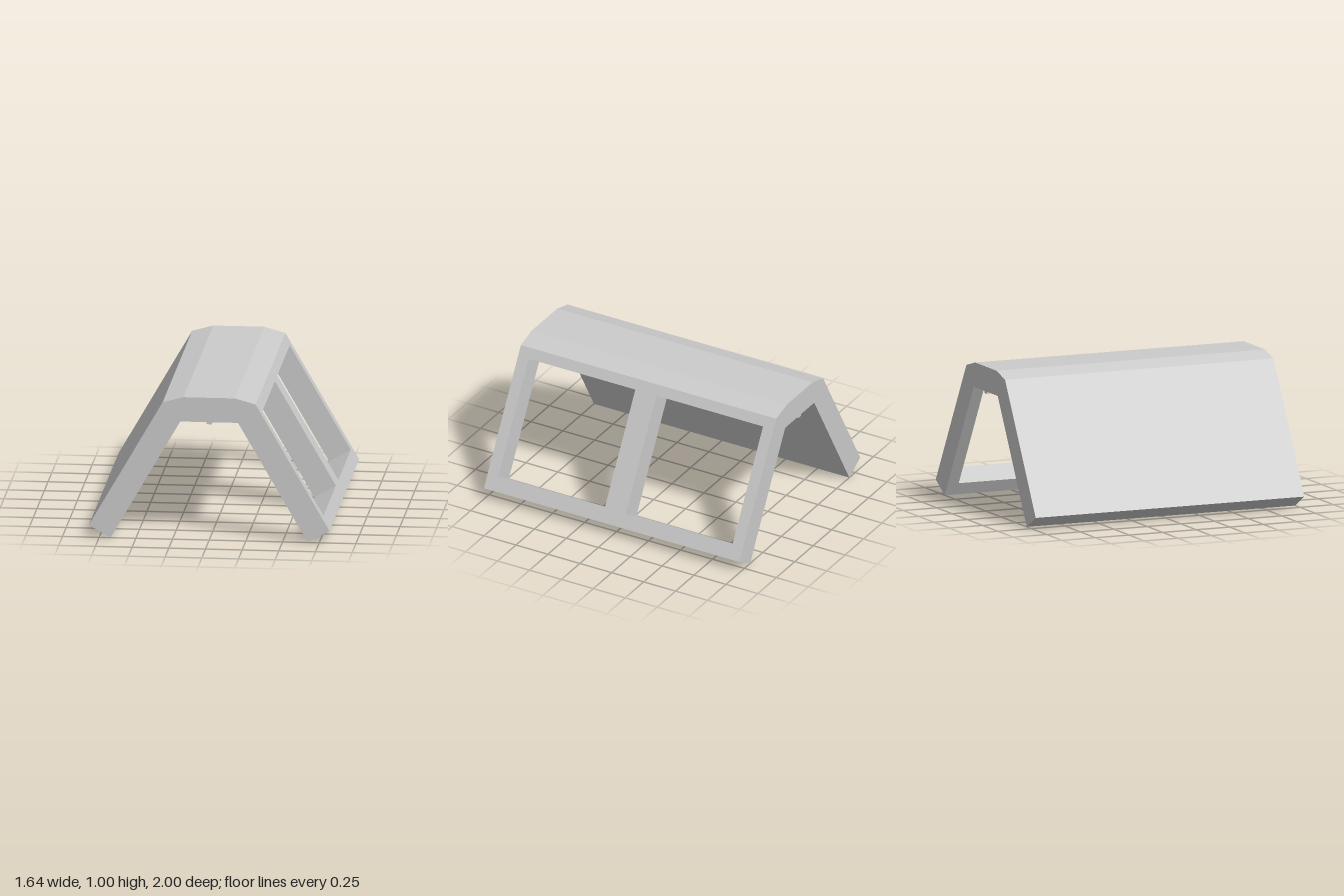
import * as THREE from 'three';

const LENGTH = 2;      // along z
const THICK = 0.17;    // wall thickness
const OUTER = 1.005;   // wall height along its slope, outer face
const INNER = 0.952;   // same, inner face (mitred top)
const FOOT = { x: 0.82, y: 0.085 }; // outer bottom corner
const up = new THREE.Vector3(-0.5, Math.sqrt(3) / 2, 0);
const out = new THREE.Vector3(Math.sqrt(3) / 2, 0.5, 0);

const material = new THREE.MeshStandardMaterial({ color: 0xcccccc, flatShading: true });

function rectangle(Type, x0, y0, x1, y1) {
  const r = new Type();
  r.moveTo(x0, y0);
  r.lineTo(x1, y0);
  r.lineTo(x1, y1);
  r.lineTo(x0, y1);
  r.closePath();
  return r;
}

// Sloping wall on the +x side, with optional window openings
function wallGeometry(windows) {
  const shape = rectangle(THREE.Shape, -LENGTH / 2, 0, LENGTH / 2, OUTER);
  for (const [a, b] of windows) shape.holes.push(rectangle(THREE.Path, a, 0.098, b, 0.93));
  const geo = new THREE.ExtrudeGeometry(shape, { depth: THICK, bevelEnabled: false });

  // Mitre the top edge: lower its inner side
  const pos = geo.attributes.position;
  for (let i = 0; i < pos.count; i++) {
    if (pos.getY(i) > OUTER - 0.001 && pos.getZ(i) < 0.001) pos.setY(i, INNER);
  }

  // Lean the wall into place
  const m = new THREE.Matrix4().makeBasis(new THREE.Vector3(0, 0, -1), up, out);
  m.setPosition(FOOT.x - out.x * THICK, FOOT.y - out.y * THICK, 0);
  geo.applyMatrix4(m);
  geo.computeVertexNormals();
  return geo;
}

// Roof cap with bevelled shoulders, meeting the mitred wall tops
function roofGeometry() {
  const edge = (w, u) => [
    FOOT.x + out.x * (w - THICK) + up.x * u,
    FOOT.y + out.y * (w - THICK) + up.y * u,
  ];
  const half = [edge(0, INNER), edge(THICK, OUTER), [0.175, 0.995]];
  const mirrored = half.map(([x, y]) => [-x, y]).reverse();
  const shape = new THREE.Shape([...half, ...mirrored].map(([x, y]) => new THREE.Vector2(x, y)));
  const geo = new THREE.ExtrudeGeometry(shape, { depth: LENGTH, bevelEnabled: false });
  return geo.translate(0, 0, -LENGTH / 2);
}

export function createModel() {
  const model = new THREE.Group();
  model.name = 'shelter';
  const add = (name, geo) => {
    const mesh = new THREE.Mesh(geo, material);
    mesh.name = name;
    model.add(mesh);
    return mesh;
  };

  add('windowWall', wallGeometry([[-0.918, -0.082], [0.082, 0.918]]));
  add('solidWall', wallGeometry([])).rotation.y = Math.PI;
  add('roof', roofGeometry());

  // Thin rail running along the middle of the ceiling
  add('ceilingRail', new THREE.BoxGeometry(0.035, 0.02, LENGTH)).position.y = 0.82;

  return model;
}
